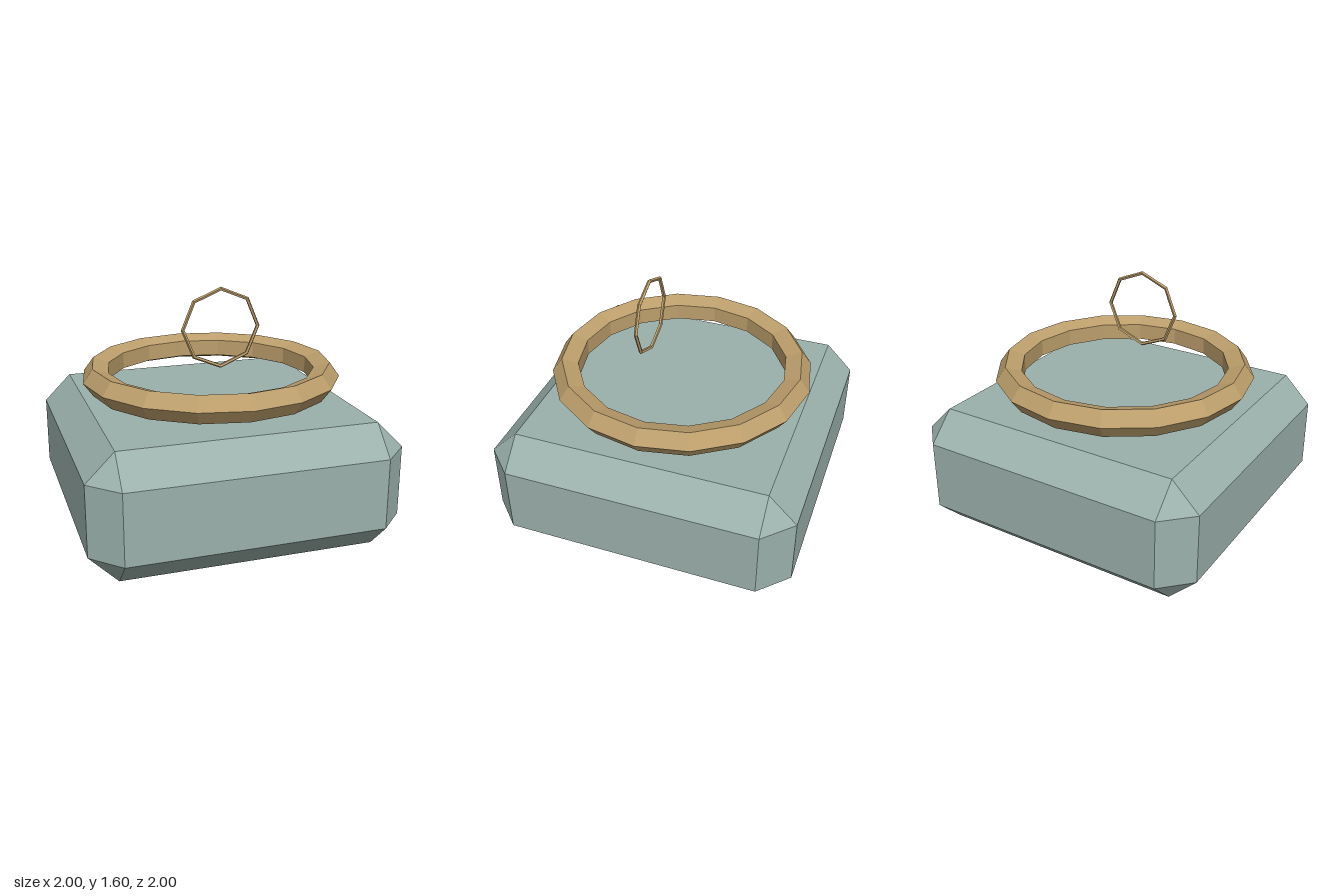
import * as THREE from 'three';
import { ConvexGeometry } from 'three/addons/geometries/ConvexGeometry.js';

const CHAMFER = 0.18;
const HEIGHT = 0.816;

// Square block with every edge cut at 45 degrees
function chamferedBlock(half, height, c) {
  const points = [];
  for (const sx of [-1, 1]) for (const sz of [-1, 1]) {
    for (const y of [0, height]) points.push(new THREE.Vector3(sx * (half - c), y, sz * (half - c)));
    for (const y of [c, height - c]) {
      points.push(new THREE.Vector3(sx * half, y, sz * (half - c)));
      points.push(new THREE.Vector3(sx * (half - c), y, sz * half));
    }
  }
  return new ConvexGeometry(points);
}

export function createModel() {
  const model = new THREE.Group();
  model.name = 'ringedBlock';

  const stone = new THREE.MeshStandardMaterial({ color: 0x9bb1ac, flatShading: true });
  stone.name = 'greyGreen';
  const brass = new THREE.MeshStandardMaterial({ color: 0xbd9f6c, flatShading: true });
  brass.name = 'brass';

  const add = (name, geometry, material, x = 0, y = 0, z = 0) => {
    const mesh = new THREE.Mesh(geometry, material);
    mesh.name = name;
    mesh.position.set(x, y, z);
    model.add(mesh);
    return mesh;
  };

  // Body
  add('body', chamferedBlock(1, HEIGHT, CHAMFER), stone);

  // Wide ring lying flat above the body, five-sided section
  const rim = add('rim', new THREE.TorusGeometry(0.759, 0.094, 5, 16), brass, 0, 0.98, 0);
  rim.rotation.x = -Math.PI / 2;

  // Thin upright ring
  add('hangingRing', new THREE.TorusGeometry(0.249, 0.0125, 5, 8), brass, 0, 1.334, 0.22);

  return model;
}
